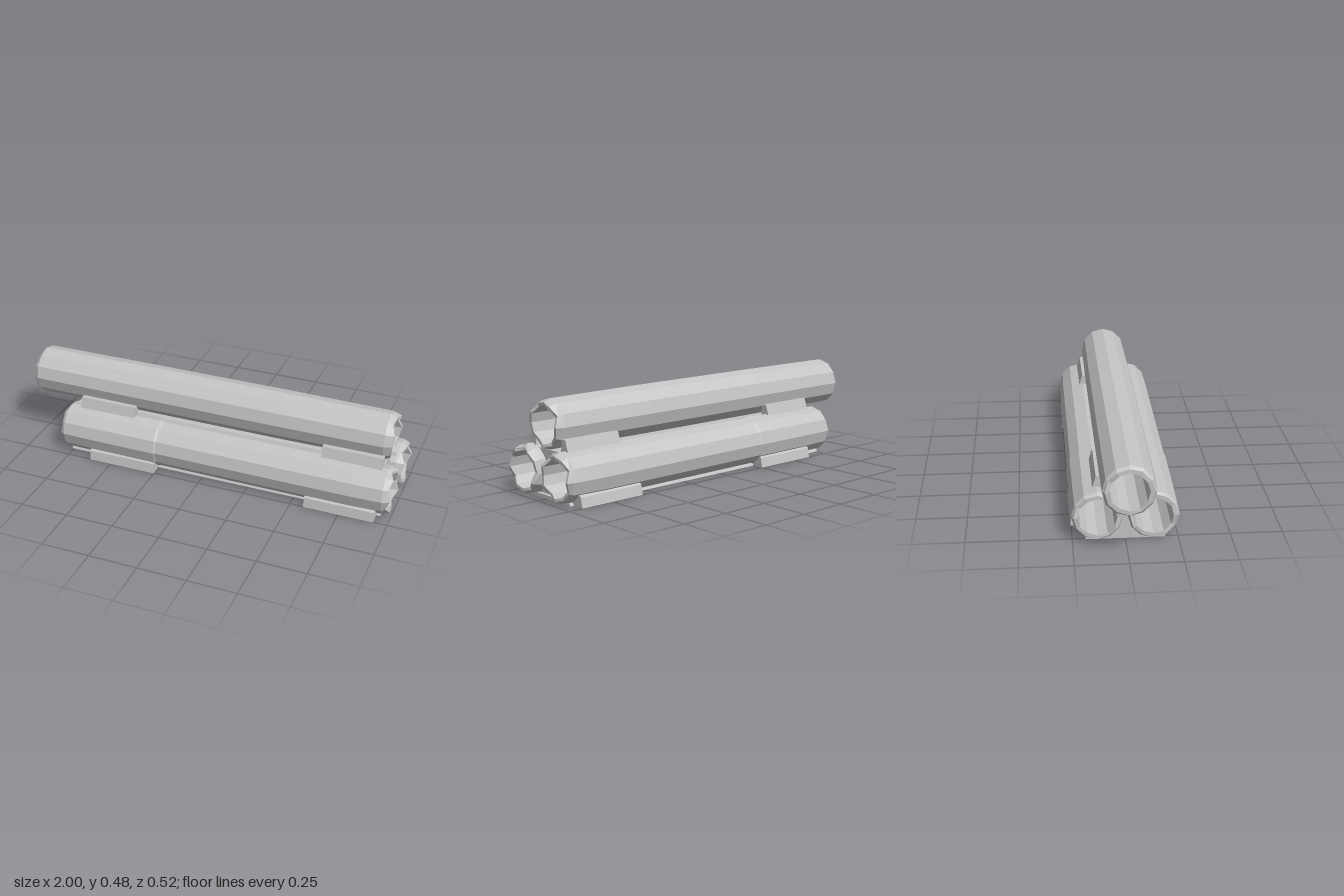
import * as THREE from 'three';

const SIDES = 12;

// Thick-walled pipe along x; rings are [x, outer radius], ends slightly ragged.
function pipe(name, material, rings, inner, y, z, phase, ragged) {
  const x0 = rings[0][0], x1 = rings[rings.length - 1][0];
  const points = [
    [inner, x0], ...rings.map(([x, r]) => [r, x]), [inner, x1], [inner, x0],
  ].map(([r, x]) => new THREE.Vector2(r, x));
  const geometry = new THREE.LatheGeometry(points, SIDES);
  const p = geometry.attributes.position;
  for (let i = 0; i < p.count; i++) {
    const a = Math.round(i / points.length - 0.5 + 0.5 / points.length) % SIDES;
    const wobble = Math.sin(a * 2.4 + phase) * ragged;
    const px = p.getY(i);
    if (px > x1 - 0.001) p.setY(i, px - ragged + wobble);
    else if (px < x0 + 0.001) p.setY(i, px + (ragged - wobble) * 0.4);
  }
  geometry.rotateZ(-Math.PI / 2);
  const mesh = new THREE.Mesh(geometry, material);
  mesh.name = name;
  mesh.position.set(0, y, z);
  return mesh;
}

// Prism along x from a [z, y] cross-section.
function prism(name, material, section, x0, x1) {
  const shape = new THREE.Shape(section.map(([z, y]) => new THREE.Vector2(-z, y)));
  const geometry = new THREE.ExtrudeGeometry(shape, { depth: x1 - x0, bevelEnabled: false });
  geometry.rotateY(Math.PI / 2);
  geometry.translate(x0, 0, 0);
  const mesh = new THREE.Mesh(geometry, material);
  mesh.name = name;
  return mesh;
}

export function createModel() {
  const group = new THREE.Group();
  group.name = 'pipeStack';
  const grey = new THREE.MeshStandardMaterial({ color: 0xc4c4c4, flatShading: true });
  grey.name = 'concreteGrey';

  // Upper pipe, shifted towards -x
  group.add(pipe('upperPipe', grey,
    [[-1, 0.112], [-0.98, 0.124], [-0.37, 0.126], [0.4, 0.126], [0.92, 0.122], [0.965, 0.108]],
    0.092, 0.356, 0, 0.5, 0.012));

  // Two lower pipes
  for (const s of [1, -1]) {
    group.add(pipe(s > 0 ? 'frontLowerPipe' : 'backLowerPipe', grey,
      [[-0.79, 0.112], [-0.77, 0.122], [-0.62, 0.125], [-0.25, 0.127], [-0.24, 0.123],
        [0.8, 0.126], [0.96, 0.122], [1, 0.108]],
      0.093, 0.126, s * 0.132, s + 1, 0.012));
  }

  // Mortar core filling the gap between the pipes
  const side = [[0.1, 0.01], [0.045, 0.06], [0.02, 0.125], [0.045, 0.19], [0.1, 0.235]];
  const mirrored = side.map(([z, y]) => [-z, y]).reverse();
  group.add(prism('core', grey, [...side, ...mirrored], -0.76, 0.93));

  // Flat base between the lower pipes
  group.add(prism('base', grey, [[-0.19, 0], [0.19, 0], [0.18, 0.018], [-0.18, 0.018]], -0.76, 0.95));

  // Chocks under the lower pipes and beside the upper pipe
  for (const s of [1, -1]) {
    const flip = (section) => section.map(([z, y]) => [s * z, y]);
    const low = flip([[0.17, 0], [0.255, 0], [0.245, 0.05], [0.232, 0.06], [0.18, 0.02]]);
    const high = flip([[0.1, 0.235], [0.155, 0.235], [0.135, 0.3], [0.105, 0.3]]);
    group.add(prism('lowerChock', grey, low, -0.62, -0.25));
    group.add(prism('lowerChock', grey, low, 0.57, 0.93));
    group.add(prism('upperChock', grey, high, -0.71, -0.4));
    group.add(prism('upperChock', grey, high, 0.62, 0.93));
  }
  return group;
}
